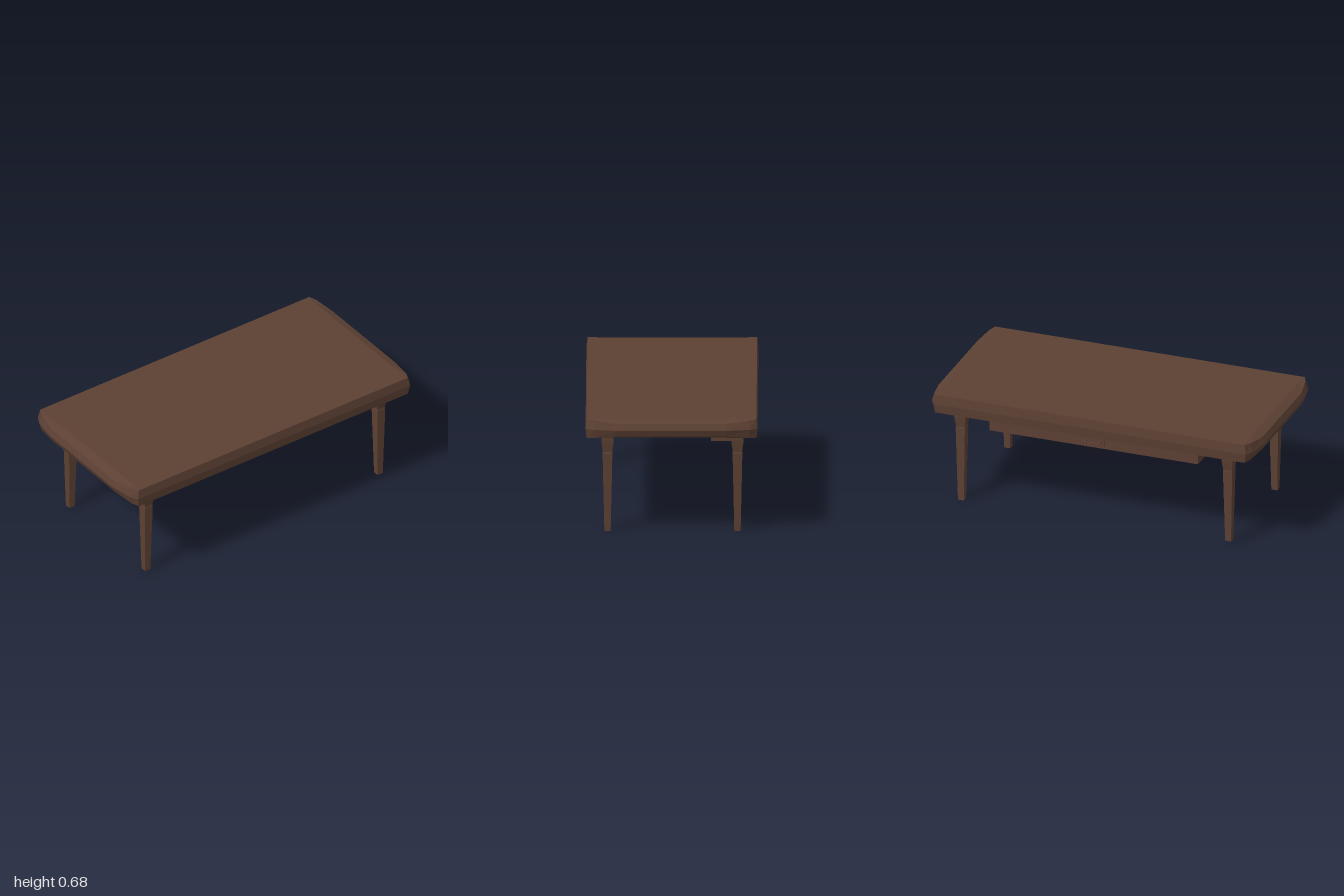
import * as THREE from 'three';

const wood = new THREE.MeshStandardMaterial({ color: 0x5c4033, flatShading: true });
wood.name = 'darkWood';

function add(parent, name, geometry, x = 0, y = 0, z = 0) {
  const mesh = new THREE.Mesh(geometry, wood);
  mesh.name = name;
  mesh.position.set(x, y, z);
  parent.add(mesh);
  return mesh;
}

// Joins rings of [x, y, z] points, listed bottom to top and running from +x towards +z
function loft(rings, capBottom = true) {
  const n = rings[0].length, index = [];
  for (let r = 0; r < rings.length - 1; r++) {
    for (let i = 0; i < n; i++) {
      const a = r * n + i, b = r * n + (i + 1) % n;
      index.push(a, a + n, b, b, a + n, b + n);
    }
  }
  const top = (rings.length - 1) * n;
  for (let i = 1; i < n - 1; i++) {
    index.push(top, top + i + 1, top + i);
    if (capBottom) index.push(0, i, i + 1);
  }
  const g = new THREE.BufferGeometry();
  g.setAttribute('position', new THREE.Float32BufferAttribute(rings.flat(2), 3));
  g.setIndex(index);
  const flat = g.toNonIndexed();
  flat.computeVertexNormals();
  return flat;
}

// Ring of the table top: three [x, y, z] points mirrored to all four corners
function slabRing(p) {
  const front = [...p, ...p.map(([x, y, z]) => [-x, y, z]).reverse()];
  return [...front, ...front.map(([x, y, z]) => [x, y, -z]).reverse()];
}

const squareRing = (y, h) => [[h, y, -h], [h, y, h], [-h, y, h], [-h, y, -h]];

const polygon = (pts) => new THREE.Shape(pts.map(([x, y]) => new THREE.Vector2(x, y)));

export function createModel() {
  const group = new THREE.Group();
  group.name = 'table';

  // Table top with rounded ends
  const mid = 0.628;
  const lower = [
    [[0.483, 0.572, 0.935], [0.44, 0.572, 0.935], [0.31, 0.572, 0.935]],
    [[0.483, 0.572, 0.942], [0.44, 0.577, 0.962], [0.31, 0.591, 0.985]],
  ];
  const middle = [[0.49, mid, 0.952], [0.445, mid, 0.977], [0.31, mid, 1]];
  const upper = lower.map((ring) => ring.map(([x, y, z]) => [x, 2 * mid - y, z])).reverse();
  add(group, 'tableTop', loft([...lower, middle, ...upper].map(slabRing), false));

  // Underside frame around a shallow recess
  const recess = [[0.31, -0.79], [0.31, 0.79], [-0.34, 0.79], [-0.225, 0.64], [-0.225, -0.64], [-0.34, -0.79]];
  const frame = polygon([[-0.483, -0.935], [0.483, -0.935], [0.483, 0.935], [-0.483, 0.935]]);
  frame.holes.push(polygon(recess));
  const frameGeometry = new THREE.ExtrudeGeometry(frame, { depth: 0.022, bevelEnabled: false });
  add(group, 'undersideFrame', frameGeometry.rotateX(-Math.PI / 2), 0, 0.572, 0);
  add(group, 'undersidePanel', new THREE.ShapeGeometry(polygon(recess)).rotateX(Math.PI / 2), 0, 0.593, 0);

  // Square tapered legs, slightly uneven at the floor
  const legs = [
    ['frontLeftLeg', 0.365, 0.808, 0.01],
    ['frontRightLeg', -0.375, 0.808, 0.017],
    ['backLeftLeg', 0.365, -0.82, 0],
    ['backRightLeg', -0.375, -0.82, 0],
  ];
  for (const [name, x, z, foot] of legs) {
    const rings = [[foot, 0.018], [0.455, 0.028], [0.465, 0.026], [0.53, 0.035], [0.575, 0.036]];
    add(group, name, loft(rings.map(([y, h]) => squareRing(y, h))), x, 0, z);
  }

  // Drawer hung under the right edge
  add(group, 'drawer', new THREE.BoxGeometry(0.185, 0.094, 1.27), -0.3175, 0.525, -0.003);

  // Drawer pull on its back plate
  const pull = new THREE.Group();
  pull.name = 'drawerPull';
  group.add(pull);
  add(pull, 'pullPlate', new THREE.BoxGeometry(0.008, 0.06, 0.13), -0.413, 0.525, 0);
  for (const side of [-1, 1]) {
    add(pull, 'pullPost', new THREE.BoxGeometry(0.042, 0.008, 0.008), -0.437, 0.524, side * 0.045);
  }
  add(pull, 'pullBar', new THREE.BoxGeometry(0.008, 0.008, 0.098), -0.454, 0.524, 0);

  return group;
}
